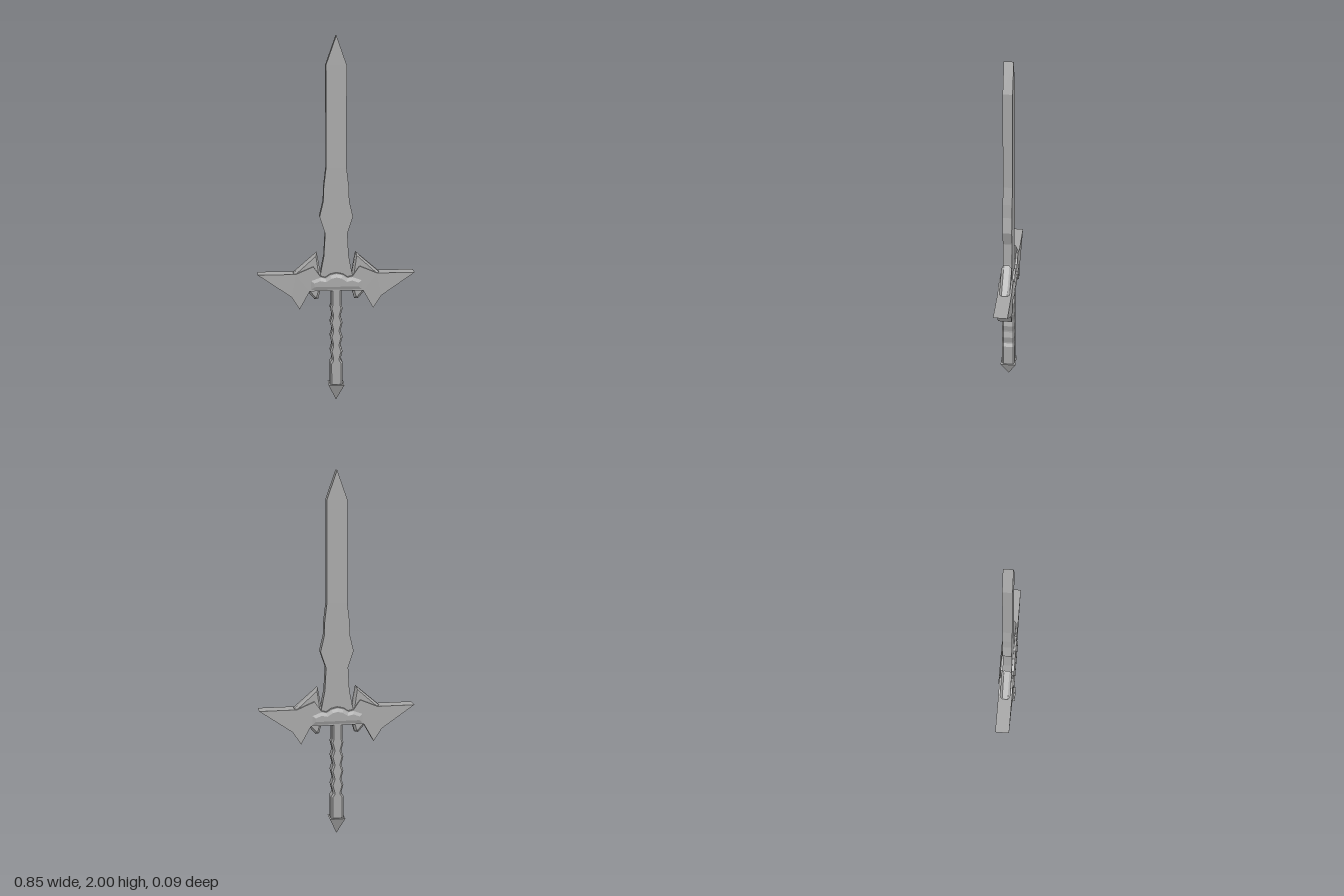
import * as THREE from 'three';

const steel = new THREE.MeshStandardMaterial({ color: 0xa6a6a6, flatShading: true });
steel.name = 'steel grey';

// Extruded plate centred on z = 0, with chamfered rims kept inside the outline
function plate(name, points, half, chamfer = 0, thick = 0) {
  const shape = new THREE.Shape(points.map(([x, y]) => new THREE.Vector2(x, y)));
  const geo = new THREE.ExtrudeGeometry(shape, {
    depth: 2 * (half - thick), steps: 1, bevelEnabled: chamfer > 0, bevelSegments: 1,
    bevelSize: chamfer, bevelOffset: -chamfer, bevelThickness: thick,
  });
  geo.translate(0, 0, -(half - thick));
  const mesh = new THREE.Mesh(geo, steel);
  mesh.name = name;
  return mesh;
}

// Closes a right-hand outline (x >= 0) with its mirror image
function mirrored(points) {
  const left = points.filter(([x]) => x > 0).map(([x, y]) => [-x, y]).reverse();
  return [...points, ...left];
}

const flip = (points) => points.map(([x, y]) => [-x, y]).reverse();

export function createModel() {
  const group = new THREE.Group();
  group.name = 'sword';

  // Blade with a flared waist above the guard
  group.add(plate('blade', mirrored([
    [0, 2], [0.055, 1.845], [0.055, 1.3], [0.067, 1.2], [0.07, 1.12], [0.09, 1.035],
    [0.06, 0.945], [0.067, 0.82], [0.088, 0.71], [0.088, 0.68],
  ]), 0.025));

  // Winged crossguard, scooped where the blade enters
  group.add(plate('crossguard', mirrored([
    [0, 0.73], [0.035, 0.722], [0.06, 0.705], [0.088, 0.712], [0.125, 0.765], [0.22, 0.725],
    [0.425, 0.725], [0.245, 0.6], [0.2, 0.53], [0.145, 0.63],
  ]), 0.038));

  // Raised boss across the middle of the guard
  group.add(plate('guardBoss', mirrored([
    [0, 0.728], [0.035, 0.72], [0.06, 0.704], [0.088, 0.71], [0.142, 0.69], [0.142, 0.632],
  ]), 0.045, 0.022, 0.009));

  // Chamfered horns rising and dropping behind the wings
  const horn = [
    [0.105, 0.838], [0.232, 0.728], [0.24, 0.7], [0.165, 0.635], [0.118, 0.58],
    [0.098, 0.583], [0.08, 0.65], [0.083, 0.715],
  ];
  group.add(plate('leftHorn', horn, 0.028, 0.012, 0.013));
  group.add(plate('rightHorn', flip(horn), 0.028, 0.012, 0.013));

  // Grip: plain lower sleeve, then a row of finger waists
  const grip = [[0.028, 0.65], [0.028, 0.55]];
  for (let i = 0; i < 4; i++) {
    const y = 0.51 - i * 0.081;
    grip.push([0.034, y + 0.02], [0.024, y - 0.02], [0.024, y - 0.03]);
  }
  grip.push([0.035, 0.22], [0.035, 0.09]);
  group.add(plate('grip', mirrored(grip), 0.036, 0.009, 0.009));

  // Pommel: square pyramid pointing down
  const cone = new THREE.ConeGeometry(0.043 * Math.SQRT2, 0.095, 4);
  cone.rotateY(Math.PI / 4).rotateX(Math.PI).translate(0, 0.0475, 0);
  const pommel = new THREE.Mesh(cone, steel);
  pommel.name = 'pommel';
  group.add(pommel);

  return group;
}
